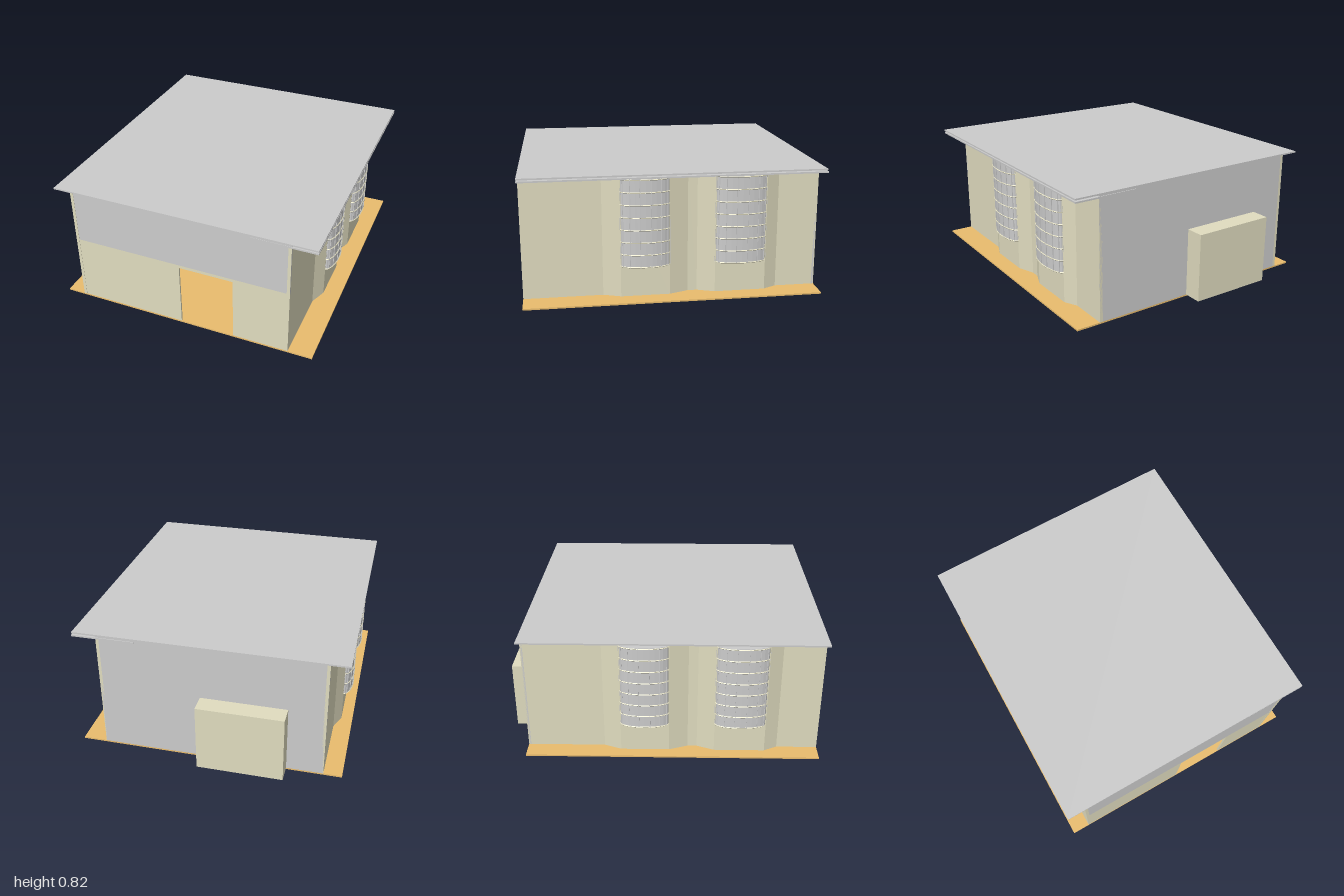
import * as THREE from 'three';

const paint = (color) => new THREE.MeshStandardMaterial({ color, flatShading: true, side: THREE.DoubleSide });
const GREY = 0xcccccc, BEIGE = 0xe0dcbf, WOOD = 0xe9bc6d;

function add(parent, name, geometry, color) {
  const mesh = new THREE.Mesh(geometry, paint(color));
  mesh.name = name;
  parent.add(mesh);
  return mesh;
}

// Box given by its minimum and maximum corners
function slab(parent, name, [x0, y0, z0], [x1, y1, z1], color) {
  const mesh = add(parent, name, new THREE.BoxGeometry(x1 - x0, y1 - y0, z1 - z0), color);
  mesh.position.set((x0 + x1) / 2, (y0 + y1) / 2, (z0 + z1) / 2);
  return mesh;
}

// Extrudes a plan outline of [x, z] points upwards from y0 to y1
function planExtrude(points, y0, y1) {
  const shape = new THREE.Shape(points.map(([x, z]) => new THREE.Vector2(x, -z)));
  const geometry = new THREE.ExtrudeGeometry(shape, { depth: y1 - y0, bevelEnabled: false });
  return geometry.rotateX(-Math.PI / 2).translate(0, y0, 0);
}

// Bow window: curved glass with horizontal and vertical glazing bars
function bowWindow(z, width) {
  const group = new THREE.Group();
  group.name = 'bowWindow';
  const y0 = 0.21, y1 = 0.775, base = 0.765, bow = 0.052;
  const arc = (grow) => {
    const points = [];
    for (let i = 0; i <= 14; i++) {
      const a = Math.PI * (i / 14 - 0.5);
      points.push([base + (bow + grow) * Math.cos(a), -(width / 2 + grow) * Math.sin(a)]);
    }
    return points;
  };
  const sides = [[base - 0.02, -width / 2], [base - 0.02, width / 2]];
  add(group, 'glass', planExtrude([...sides, ...arc(-0.003)], y0, y1), GREY);
  for (let i = 0; i < 8; i++) {
    const y = y0 + 0.003 + i * (y1 - y0 - 0.008) / 7;
    const curve = new THREE.CatmullRomCurve3(arc(0).map(([x, pz]) => new THREE.Vector3(x, y, pz)));
    add(group, 'horizontalBar', new THREE.TubeGeometry(curve, 20, 0.004, 4), BEIGE);
  }
  arc(0).forEach(([x, pz], i) => {
    if (i % 2) return;
    const bar = add(group, 'verticalBar', new THREE.BoxGeometry(0.005, y1 - y0, 0.005), GREY);
    bar.position.set(x, (y0 + y1) / 2, pz);
  });
  group.position.z = z;
  return group;
}

// Side wall that swells outwards around two bow windows
function sideWall(name, top) {
  const group = new THREE.Group();
  group.name = name;
  const outer = [
    [0.725, 1], [0.725, 0.5], [0.768, 0.39], [0.768, 0.08], [0.725, -0.04],
    [0.725, -0.1], [0.768, -0.21], [0.768, -0.535], [0.725, -0.62], [0.725, -0.88],
  ];
  const inner = outer.map(([x, z]) => [x - 0.02, z]).reverse();
  add(group, 'curvedWall', planExtrude([...outer, ...inner], 0.01, top), BEIGE);
  group.add(bowWindow(0.235, 0.31), bowWindow(-0.372, 0.325));
  return group;
}

export function createModel() {
  const model = new THREE.Group();
  model.name = 'building';

  // Floor and the two roof sheets
  slab(model, 'floor', [-0.865, 0, -0.88], [0.86, 0.01, 1], WOOD);
  slab(model, 'roof', [-0.865, 0.81, -0.88], [0.86, 0.82, 1], GREY);
  slab(model, 'lowerRoofSheet', [0.45, 0.793, -0.885], [0.86, 0.803, 1], GREY);

  // Side walls: the second is the first turned half round
  const right = sideWall('sideWall', 0.793);
  right.position.x = -0.022;
  const left = sideWall('oppositeSideWall', 0.81);
  left.rotation.y = Math.PI;
  left.position.set(-0.022, 0, 0.12);
  model.add(right, left);

  // Front wall with a door opening in its lower half
  const front = new THREE.Shape();
  front.moveTo(-0.747, 0.01).lineTo(-0.018, 0.01).lineTo(-0.018, 0.44).lineTo(0.34, 0.44)
    .lineTo(0.34, 0.01).lineTo(0.703, 0.01).lineTo(0.703, 0.46).lineTo(-0.747, 0.46);
  add(model, 'frontWall', new THREE.ExtrudeGeometry(front, { depth: 0.012, bevelEnabled: false }), BEIGE)
    .position.z = 0.986;
  slab(model, 'upperFrontWall', [-0.747, 0.46, 0.986], [0.703, 0.81, 0.998], GREY);

  // Back wall, its inner lining and the annex outside
  slab(model, 'backWall', [-0.747, 0.01, -0.88], [0.703, 0.81, -0.865], GREY);
  slab(model, 'innerLining', [-0.725, 0.01, -0.865], [0.68, 0.46, -0.855], BEIGE);
  slab(model, 'annex', [-0.51, 0.01, -1], [0.045, 0.46, -0.88], BEIGE);

  // Round post standing inside
  add(model, 'innerPost', new THREE.CylinderGeometry(0.04, 0.04, 0.29, 16), GREY).position.set(-0.02, 0.155, -0.6);

  return model;
}
